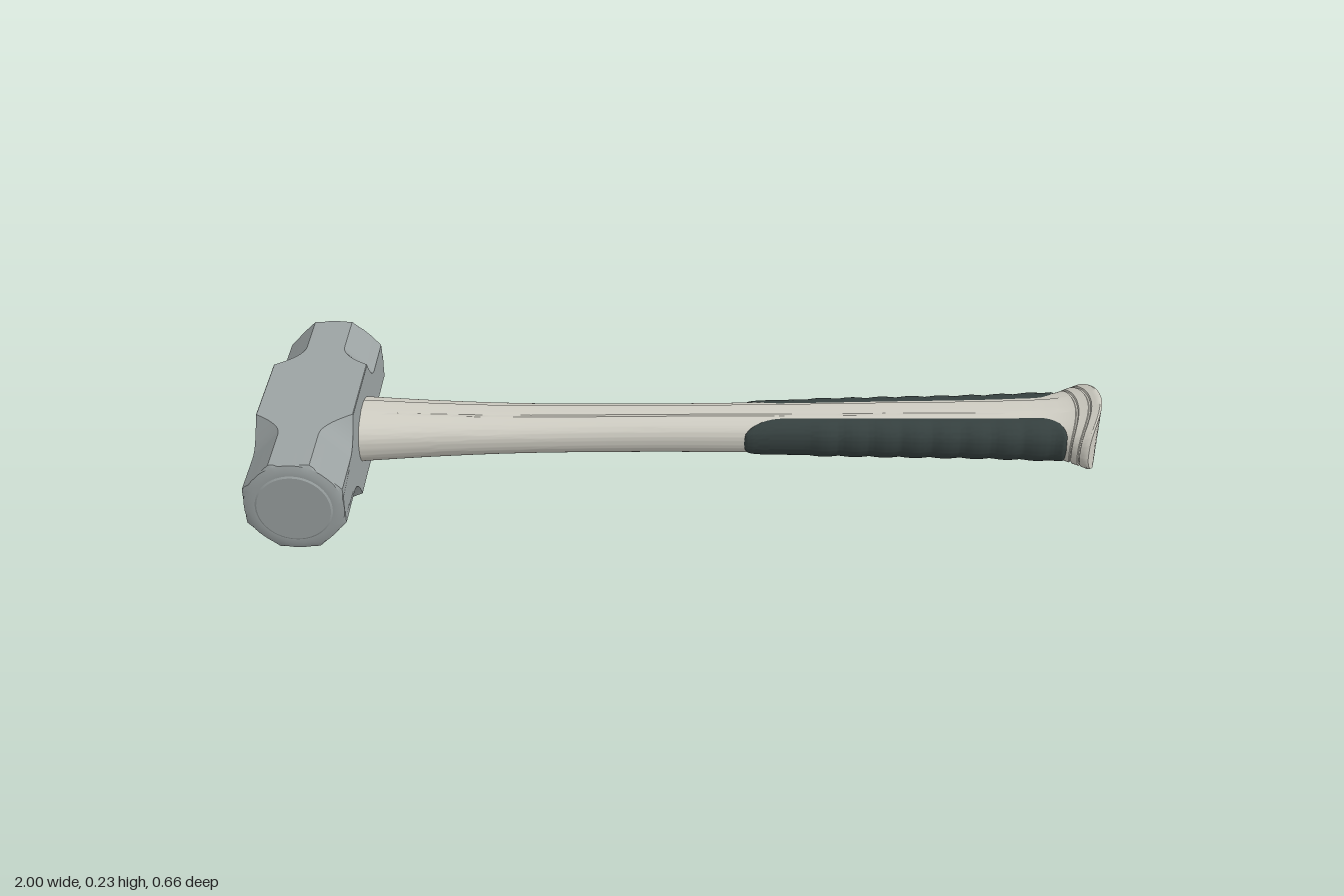
import * as THREE from 'three';
import { toCreasedNormals } from 'three/addons/utils/BufferGeometryUtils.js';

const { cos, sin, abs, sign, min, max, sqrt, PI } = Math;
const range = (n, f) => Array.from({ length: n }, (_, i) => f(i));

// Skin a list of cross-sections; each section is an array of Vector3
function loft(rings, closed, crease) {
  const n = rings[0].length, pos = [], idx = [];
  rings.forEach(r => r.forEach(p => pos.push(p.x, p.y, p.z)));
  for (let i = 0; i < rings.length - 1; i++) {
    for (let j = 0; j < (closed ? n : n - 1); j++) {
      const k = (j + 1) % n, a = i * n + j, b = i * n + k;
      idx.push(a, b, a + n, b, b + n, a + n);
    }
  }
  const g = new THREE.BufferGeometry();
  g.setAttribute('position', new THREE.Float32BufferAttribute(pos, 3));
  g.setIndex(idx);
  return toCreasedNormals(g, crease);
}

const CY = 0.115;

// Head: square in the middle, chamfers sweeping in to octagonal ends
const HX = -0.8865, HALF = 0.1135, CHAMFER = 0.067, SIDE = 8;
function headRing(z, chamfer, limit) {
  const pts = [], s = HALF - chamfer;
  for (let q = 0; q < 4; q++) {
    const c = Math.round(cos(q * PI / 2)), d = Math.round(sin(q * PI / 2));
    const add = (x, y) => {
      const k = min(1, limit / Math.hypot(x, y));
      pts.push(new THREE.Vector3(HX + (x * c - y * d) * k, CY + (x * d + y * c) * k, z));
    };
    for (let i = 0; i < SIDE; i++) add(HALF, -s + 2 * s * i / SIDE);
    for (let i = 0; i < SIDE; i++) add(HALF - chamfer * i / SIDE, s + chamfer * i / SIDE);
  }
  return pts;
}
function headGeometry() {
  const half = [[0, 0.0015, 1], [0.112, 0.0015, 1]];
  for (let i = 1; i <= 10; i++) {
    const t = i / 10;
    half.push([0.112 + 0.083 * t, 0.0015 + (CHAMFER - 0.0015) * (1 - (1 - t) ** 2), 1]);
  }
  // conical rim, then a shallow raised striking face
  half.push([0.315, CHAMFER, 0.13], [0.319, CHAMFER, 0.122], [0.323, CHAMFER, 0.114],
    [0.3275, CHAMFER, 0.1], [0.3275, CHAMFER, 0.088], [0.33, CHAMFER, 0.084], [0.33, CHAMFER, 0.00001]);
  const back = half.slice(1).reverse().map(([z, c, l]) => [-z, c, l]);
  return loft([...back, ...half].map(a => headRing(...a)), true, 0.4);
}

// Handle half-height and half-width along x
const KEYS = [-0.78, -0.6, -0.4, -0.1, 0.15, 0.5, 0.8, 0.91, 0.955, 1];
const SIZES = [0.063, 0.095, 0.055, 0.082, 0.049, 0.073, 0.049, 0.067, 0.05, 0.07,
  0.053, 0.08, 0.056, 0.092, 0.062, 0.1, 0.073, 0.111, 0.09, 0.118];
const profile = new THREE.CubicInterpolant(KEYS, SIZES, 2, new Float32Array(2));

// Point on the handle surface; the butt end is bowed across z
function surface(x, a, offset, scale = 1) {
  const [h, w] = profile.evaluate(x);
  const p = v => sign(v) * abs(v) ** (2 / 2.4);
  const y = (h + offset) * p(cos(a)) * scale, z = (w + offset) * p(sin(a)) * scale;
  const bow = THREE.MathUtils.smoothstep(x, 0.84, 1) * 0.042 * (z / 0.118) ** 2;
  return new THREE.Vector3(x - bow, CY + y, z);
}
function handleGeometry() {
  const N = 112;
  const ring = (x, offset, scale) => range(N, j => {
    const a = j / N * PI * 2;
    // narrow spine along the top and bottom
    const rib = abs(sin(a)) < 0.23 && x < 0.92 ? 0.003 : 0;
    return surface(x, a, offset + rib, scale);
  });
  const rings = range(70, i => ring(-0.78 + 1.7 * i / 70, 0));
  for (const [x, o] of [[0.925, 0], [0.938, 0], [0.94, -0.003], [0.944, -0.003], [0.946, 0], [0.957, 0],
    [0.968, 0], [0.97, -0.003], [0.974, -0.003], [0.976, 0], [0.985, 0], [0.995, 0], [1, -0.003]]) {
    rings.push(ring(x, o));
  }
  // bowed end cap
  for (const s of [0.85, 0.65, 0.45, 0.25, 0.0001]) rings.push(ring(1, -0.003, s));
  return loft(rings, true, 0.6);
}

// Rubber grip pad wrapped round one side, with finger ridges and rounded ends
function gripGeometry(mid) {
  const X0 = 0.14, X1 = 0.93, NX = 120, NA = 32;
  const rings = range(NX + 1, i => {
    const x = X0 + (X1 - X0) * i / NX;
    const e0 = min(1, (x - X0) / 0.1), e1 = min(1, (X1 - x) / 0.08);
    const spread = 1.2 * sqrt(max(0, 1 - (1 - e0) ** 2)) * sqrt(max(0, 1 - (1 - e1) ** 2));
    const edge = min(1, (x - X0) / 0.012, (X1 - x) / 0.012);
    const ridge = x > 0.3 && x < 0.88 ? 0.005 * abs(sin((x - 0.3) / 0.0725 * PI)) : 0;
    return range(NA + 1, j => {
      const u = j / NA * 2 - 1;
      const lift = (0.007 + ridge * (1 - u * u)) * (1 - u ** 10) * edge - 0.002;
      return surface(x, mid + u * spread, lift);
    });
  });
  return loft(rings, false, 0.7);
}

export function createModel() {
  const model = new THREE.Group();
  model.name = 'sledgehammer';
  const mat = (color, side = THREE.FrontSide) => new THREE.MeshStandardMaterial({ color, side });
  const steel = mat(0x9ca3a3), shaft = mat(0xcfcdc3), rubber = mat(0x364140, THREE.DoubleSide);
  const add = (name, geometry, material) => {
    const m = new THREE.Mesh(geometry, material);
    m.name = name;
    model.add(m);
    return m;
  };
  add('head', headGeometry(), steel);
  add('handle', handleGeometry(), shaft);
  add('leftGrip', gripGeometry(PI / 2), rubber);
  add('rightGrip', gripGeometry(PI * 1.5), rubber);

  // End of the handle seen in the far side of the head eye
  const plug = add('eyePlug', new THREE.CylinderGeometry(1, 1, 0.02, 48), steel);
  plug.rotation.z = PI / 2;
  plug.scale.set(0.066, 1, 0.086);
  plug.position.set(-0.991, CY, 0);
  return model;
}
